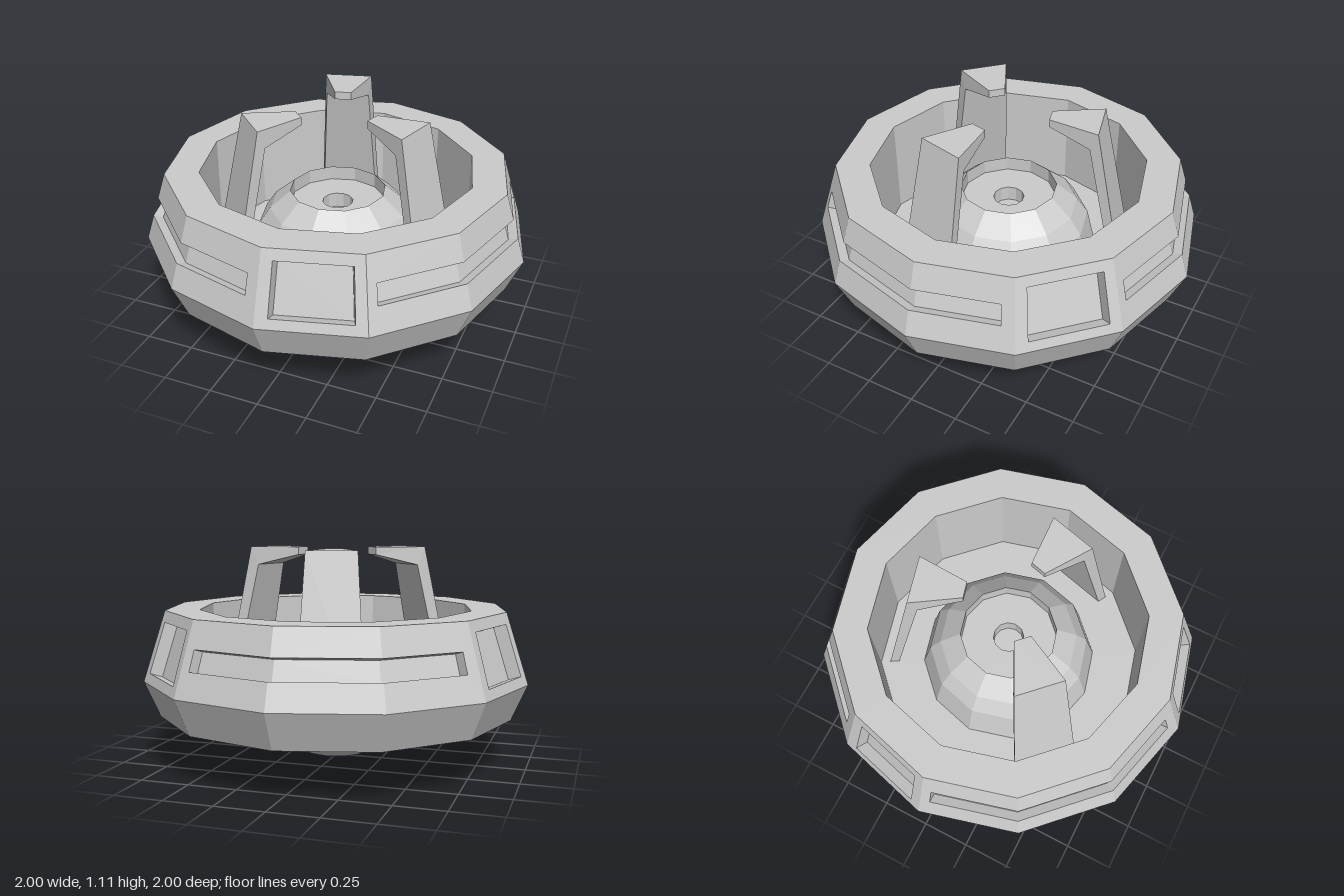
import * as THREE from 'three';

const SIDES = 12;
const material = new THREE.MeshStandardMaterial({ color: 0xcccccc, flatShading: true });

// Point at an angle in degrees, measured from +x towards +z
function polar(r, y, deg) {
  const a = THREE.MathUtils.degToRad(deg);
  return new THREE.Vector3(r * Math.cos(a), y, r * Math.sin(a));
}

// Mesh from a list of four-cornered faces, corners counter-clockwise
function quadMesh(quads, name) {
  const points = quads.flatMap(([a, b, c, d]) => [a, b, c, a, c, d]);
  const geometry = new THREE.BufferGeometry().setFromPoints(points);
  geometry.computeVertexNormals();
  const mesh = new THREE.Mesh(geometry, material);
  mesh.name = name;
  return mesh;
}

function latheMesh(profile, name) {
  const points = profile.map(([r, y]) => new THREE.Vector2(r, y));
  const mesh = new THREE.Mesh(new THREE.LatheGeometry(points, SIDES), material);
  mesh.name = name;
  return mesh;
}

// Sloping upper wall of the ring
const Y0 = 0.435, Y1 = 0.795, R0 = 1, R1 = 0.885;
const wallRadius = (y) => R0 + ((R1 - R0) * (y - Y0)) / (Y1 - Y0);

// Point on one wall side: f runs along the side, depth goes inwards
function wallPoint(side, f, y, depth = 0) {
  const r = wallRadius(y) - depth * 0.95;
  const yy = y - depth * 0.3;
  return polar(r, yy, side * 30).lerp(polar(r, yy, side * 30 + 30), f);
}

function corners(side, f0, f1, y0, y1, depth) {
  return [[f0, y0], [f0, y1], [f1, y1], [f1, y0]].map(([f, y]) => wallPoint(side, f, y, depth));
}

// One wall side with a recess; a recess reaching f = 0 or 1 runs on round the corner
function recessedSide(side, f0, f1, y0, y1, depth) {
  const face = corners(side, 0, 1, Y0, Y1, 0);
  const edge = corners(side, f0, f1, y0, y1, 0);
  const floor = corners(side, f0, f1, y0, y1, depth);
  const quads = [floor];
  for (let j = 0; j < 4; j++) {
    const k = (j + 1) % 4;
    if (!(j === 0 && f0 === 0) && !(j === 2 && f1 === 1)) {
      quads.push([edge[j], edge[k], floor[k], floor[j]]);
    }
    quads.push([face[j], face[k], edge[k], edge[j]]);
  }
  return quads;
}

// Bent prong filling one 30 degree sector, with a narrower tip
function prong(startDeg) {
  const profile = [
    [0.66, 0.27, 0], [0.48, 1.105, 0], [0.215, 1.105, 3.7],
    [0.215, 1.065, 3.7], [0.44, 1.01, 0], [0.61, 0.27, 0],
  ];
  const A = profile.map(([r, y, inset]) => polar(r, y, startDeg + inset));
  const B = profile.map(([r, y, inset]) => polar(r, y, startDeg + 30 - inset));
  const quads = profile.map((_, i) => {
    const n = (i + 1) % profile.length;
    return [A[i], A[n], B[n], B[i]];
  });
  quads.push([A[5], A[4], A[1], A[0]], [A[4], A[3], A[2], A[1]]);
  quads.push([B[0], B[1], B[4], B[5]], [B[1], B[2], B[3], B[4]]);
  return quadMesh(quads, 'prong');
}

export function createModel() {
  const model = new THREE.Group();
  model.name = 'device';

  // Base plate with flared lower edge, then the rim, inner wall and floor
  model.add(latheMesh([[0, 0.25], [0.92, 0.25], [R0, Y0]], 'base'));
  model.add(latheMesh([[R1, Y1], [0.71, Y1], [0.71, 0.27], [0, 0.27]], 'innerTray'));

  // Upper wall: every fourth side has a square recess, a slot spans the three between
  const panels = [], slots = [];
  for (let side = 0; side < SIDES; side++) {
    const place = (side + 2) % 4; // 0 = square panel, 1 to 3 = slot
    if (place === 0) panels.push(...recessedSide(side, 0.11, 0.88, 0.485, 0.74, 0.065));
    else {
      slots.push(...recessedSide(side, place === 1 ? 0.13 : 0, place === 3 ? 0.9 : 1, 0.563, 0.663, 0.05));
    }
  }
  model.add(quadMesh(panels, 'panelWall'), quadMesh(slots, 'slotWall'));

  // Faceted bowl below: lower part of a ball
  const ball = 0.42;
  const bowl = [[0, 0]];
  for (let i = 0; i < 5; i++) {
    const a = (Math.PI / 11) * (i + 0.5);
    bowl.push([ball * Math.sin(a), ball * (0.99 - Math.cos(a))]);
  }
  model.add(latheMesh(bowl, 'lowerBowl'));

  // Dome inside the tray, with a sunken top and centre hole
  model.add(latheMesh([
    [0.475, 0.25], [0.42, 0.473], [0.36, 0.56], [0.25, 0.655],
    [0.25, 0.58], [0.08, 0.58], [0.08, 0.5], [0, 0.5],
  ], 'dome'));

  // Three prongs around the dome
  for (const deg of [0, 120, 240]) model.add(prong(deg));

  return model;
}
